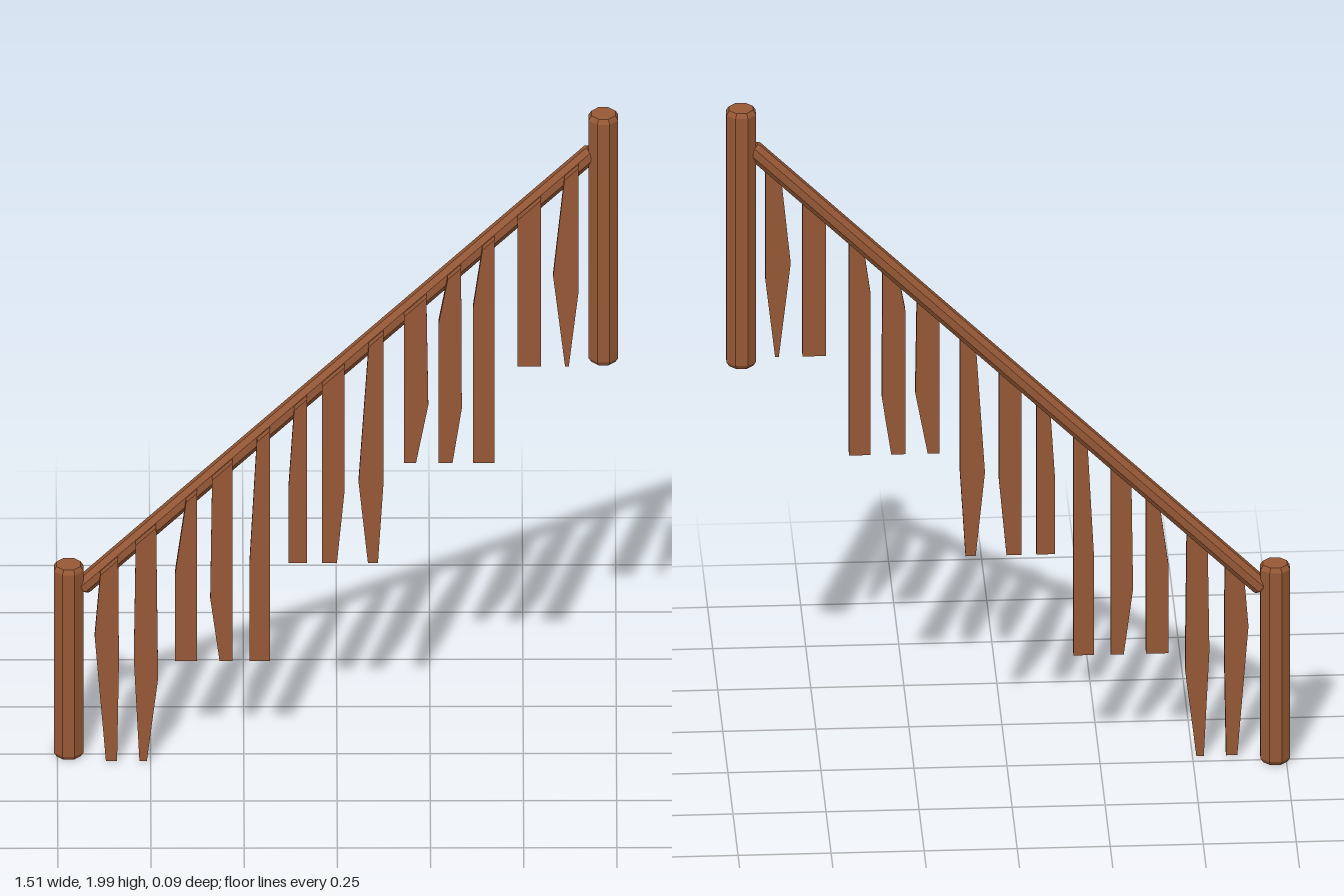
import * as THREE from 'three';

const wood = new THREE.MeshStandardMaterial({ color: 0x965835 });
wood.name = 'brown wood';

// Eight-sided log along y from 0 to length, with chamfered ends
function log(name, radius, length, chamfer) {
  const profile = [
    [0, 0], [radius - chamfer, 0], [radius, chamfer * 1.6],
    [radius, length - chamfer * 1.6], [radius - chamfer, length], [0, length],
  ].map(([r, y]) => new THREE.Vector2(r, y));
  const geometry = new THREE.LatheGeometry(profile, 8, Math.PI / 8).toNonIndexed();
  geometry.computeVertexNormals();
  const mesh = new THREE.Mesh(geometry, wood);
  mesh.name = name;
  return mesh;
}

const railStart = new THREE.Vector3(-0.685, 0.53, -0.003);
const railEnd = new THREE.Vector3(0.685, 1.88, -0.003);
const slope = (railEnd.y - railStart.y) / (railEnd.x - railStart.x);
const slatTop = (x) => railStart.y + (x - railStart.x) * slope + 0.012;

// Slats: top left/right x, middle left/right x, heights of left/right bends,
// bottom left/right x, bottom height
const slats = [
  [-0.635, -0.587, -0.65, -0.585, 0.40, 0.32, -0.62, -0.59, 0.015],
  [-0.54, -0.485, -0.545, -0.48, 0.33, 0.27, -0.53, -0.51, 0.015],
  [-0.405, -0.375, -0.435, -0.375, 0.59, 0.55, -0.435, -0.375, 0.325],
  [-0.335, -0.28, -0.34, -0.28, 0.52, 0.52, -0.315, -0.28, 0.325],
  [-0.215, -0.18, -0.235, -0.18, 0.62, 0.6, -0.235, -0.18, 0.325],
  [-0.115, -0.08, -0.13, -0.08, 0.86, 0.85, -0.13, -0.08, 0.63],
  [-0.04, 0.02, -0.04, 0.02, 0.85, 0.85, -0.04, 0, 0.63],
  [0.085, 0.125, 0.058, 0.125, 0.88, 0.88, 0.083, 0.11, 0.63],
  [0.18, 0.24, 0.18, 0.245, 1.14, 1.12, 0.18, 0.212, 0.94],
  [0.297, 0.333, 0.272, 0.335, 1.37, 1.11, 0.272, 0.31, 0.94],
  [0.39, 0.423, 0.365, 0.423, 1.42, 1.2, 0.365, 0.423, 0.94],
  [0.485, 0.548, 0.485, 0.548, 1.45, 1.45, 0.485, 0.548, 1.24],
  [0.61, 0.648, 0.58, 0.648, 1.52, 1.47, 0.612, 0.622, 1.24],
];

function slat([tl, tr, ml, mr, yl, yr, bl, br, yb]) {
  const outline = [[bl, yb], [br, yb], [mr, yr], [tr, slatTop(tr)], [tl, slatTop(tl)], [ml, yl]];
  const shape = new THREE.Shape(outline.map(([x, y]) => new THREE.Vector2(x, y)));
  const mesh = new THREE.Mesh(
    new THREE.ExtrudeGeometry(shape, { depth: 0.023, bevelEnabled: false }), wood);
  mesh.position.z = 0.022;
  return mesh;
}

export function createModel() {
  const model = new THREE.Group();
  model.name = 'stairRailing';

  // End posts
  const lowerPost = log('lowerPost', 0.043, 0.59, 0.008);
  lowerPost.position.set(-0.72, 0.01, -0.002);
  const upperPost = log('upperPost', 0.043, 0.765, 0.008);
  upperPost.position.set(0.715, 1.235, -0.002);

  // Sloping handrail
  const run = railEnd.clone().sub(railStart);
  const handrail = log('handrail', 0.026, run.length(), 0.004);
  handrail.position.copy(railStart);
  handrail.quaternion.setFromUnitVectors(new THREE.Vector3(0, 1, 0), run.normalize());

  // Hand-cut slats on the front of the rail
  const balusters = new THREE.Group();
  balusters.name = 'slats';
  slats.forEach((s, i) => {
    const mesh = slat(s);
    mesh.name = `slat${i + 1}`;
    balusters.add(mesh);
  });

  model.add(lowerPost, upperPost, handrail, balusters);
  return model;
}
